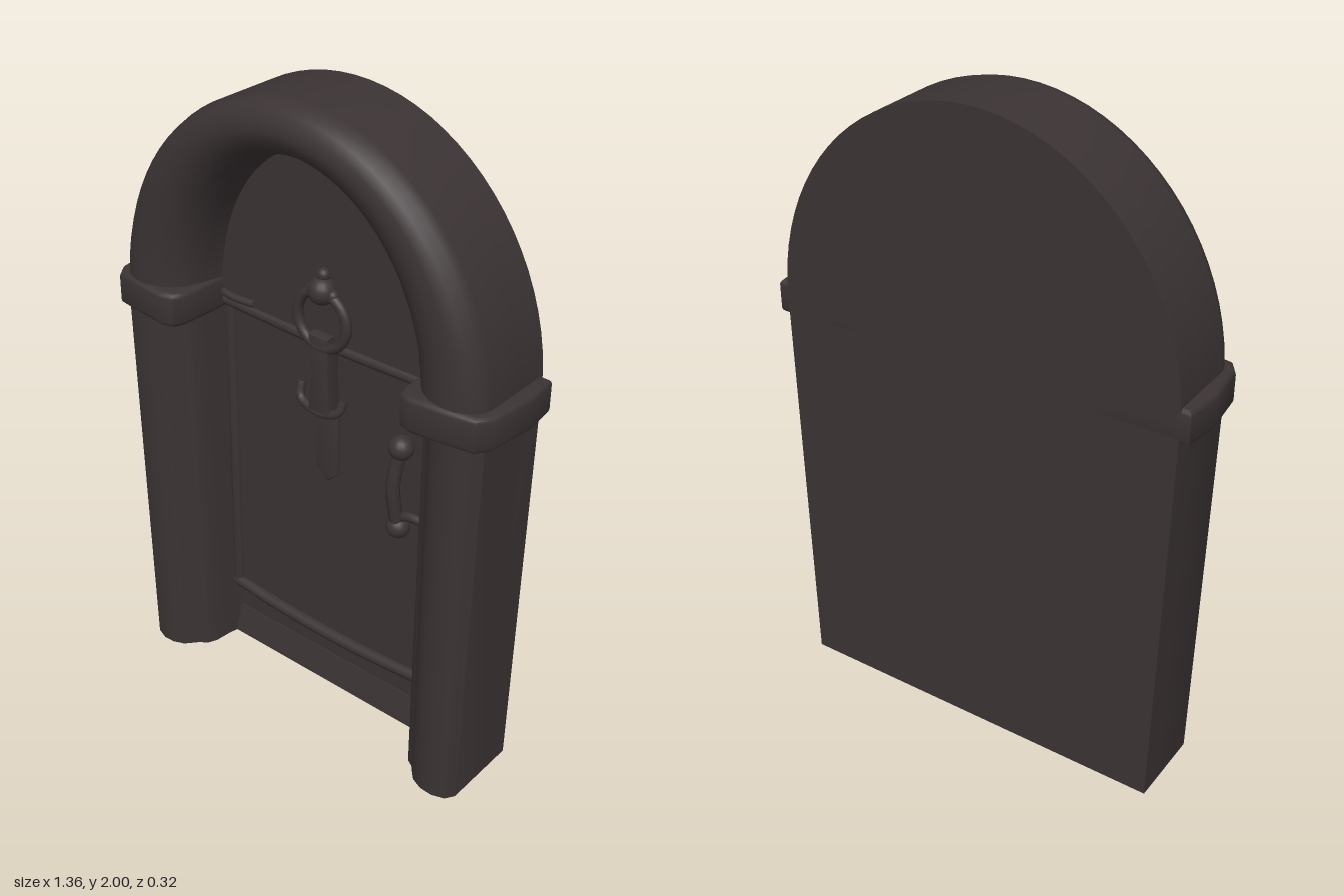
import * as THREE from 'three';
import { toCreasedNormals } from 'three/addons/utils/BufferGeometryUtils.js';

const BACK = -0.16;
const RECESS = -0.08; // front of the backing slab
const SPRING = 1.3; // height where the arch begins
const STEPS = 40;

export function createModel() {
  const group = new THREE.Group();
  const door = new THREE.Group();
  door.name = 'door';
  door.position.z = RECESS;
  group.add(door);
  const stone = new THREE.MeshStandardMaterial({ color: 0x3b3334 });
  stone.name = 'dark stone';

  const addTo = (parent) => (name, geo, x = 0, y = 0, z = 0) => {
    const mesh = new THREE.Mesh(geo, stone);
    mesh.name = name;
    mesh.position.set(x, y, z);
    parent.add(mesh);
  };
  const add = addTo(group), addDoor = addTo(door);
  const vec = ([x, y]) => new THREE.Vector2(x, y);
  const ellipse = (a, b, t) => new THREE.Vector2(a * Math.cos(t), SPRING + b * Math.sin(t));
  const arc = (a, b) => Array.from({ length: STEPS + 1 }, (_, i) => ellipse(a, b, (Math.PI * i) / STEPS));
  const extrude = (points, depth, bevel = 0) =>
    new THREE.ExtrudeGeometry(new THREE.Shape(points), {
      depth, bevelEnabled: bevel > 0, bevelSize: bevel, bevelThickness: bevel, bevelSegments: 3,
    });
  // extrudes a plan of [x, z] points upwards
  const raise = (plan, side, height, bevel = 0) =>
    extrude(plan.map(([x, z]) => new THREE.Vector2(side * x, -z)), height, bevel).rotateX(-Math.PI / 2);
  const tube = (points, radius) =>
    new THREE.TubeGeometry(new THREE.CatmullRomCurve3(points.map((p) => new THREE.Vector3(...p))), 20, radius, 8);

  // Backing slab with arched outline
  const outline = [vec([-0.608, 0]), vec([0.62, 0]), ...arc(0.64, 0.7)];
  add('backSlab', toCreasedNormals(extrude(outline, RECESS - BACK), 0.6), 0, 0, BACK);

  // Rounded arch moulding: profile of [outer-to-inner fraction, z] swept over the arch
  const profile = [[0, RECESS], [0, 0.07], [0.04, 0.098], [0.13, 0.122], [0.28, 0.137], [0.45, 0.141],
    [0.62, 0.133], [0.78, 0.112], [0.9, 0.08], [0.97, 0.04], [1, 0], [1.04, RECESS]];
  const pos = [], index = [], cols = profile.length;
  for (let i = 0; i <= STEPS; i++) {
    const t = (Math.PI * i) / STEPS;
    const outer = ellipse(0.64, 0.7, t), inner = ellipse(0.4, 0.53, t);
    const crown = 0.008 * Math.pow(Math.sin(t), 8);
    profile.forEach(([s, z], j) => {
      const p = outer.clone().lerp(inner, s);
      pos.push(p.x, p.y, z + crown * Math.sin(Math.PI * s));
      if (i < STEPS && j < cols - 1) {
        const a = i * cols + j, b = a + cols;
        index.push(a, b, a + 1, b, b + 1, a + 1);
      }
    });
  }
  const arch = new THREE.BufferGeometry();
  arch.setAttribute('position', new THREE.Float32BufferAttribute(pos, 3));
  arch.setIndex(index);
  arch.computeVertexNormals();
  add('archMoulding', arch);

  // Pillars and their capitals
  const pillarPlan = [[0.64, RECESS], [0.64, 0.09], [0.62, 0.118], [0.575, 0.132], [0.53, 0.13], [0.49, 0.115],
    [0.462, 0.088], [0.45, 0.075], [0.425, 0.062], [0.408, 0.03], [0.4, -0.03], [0.385, RECESS]];
  const capPlan = [[0.655, BACK + 0.015], [0.667, -0.05], [0.65, 0.09], [0.628, 0.122], [0.55, 0.134],
    [0.45, 0.145], [0.42, 0.135], [0.408, 0.11], [0.405, 0], [0.405, BACK + 0.015]];
  for (const side of [1, -1]) {
    const name = side > 0 ? 'left' : 'right';
    const taper = side > 0 ? 0.02 : 0.032;
    const pillar = raise(pillarPlan, side, SPRING);
    const p = pillar.attributes.position;
    for (let i = 0; i < p.count; i++) { // slimmer towards the foot
      const x = p.getX(i), k = (Math.abs(x) - 0.4) / 0.24;
      p.setX(i, x - side * taper * k * (1 - p.getY(i) / SPRING));
    }
    add(name + 'Pillar', toCreasedNormals(pillar, 0.6));
    add(name + 'Capital', toCreasedNormals(raise(capPlan, side, 0.075, 0.015), 0.7), 0, 1.25, 0);
  }

  // Door leaf, arched upper panel, flared base, ledge and sill
  addDoor('doorLeaf', new THREE.BoxGeometry(0.82, 1.06, 0.04), 0, 0.73, -0.005);
  const upper = [vec([-0.41, 1.25]), vec([0.41, 1.25]), ...arc(0.41, 0.54)];
  addDoor('upperPanel', toCreasedNormals(extrude(upper, 0.05), 0.6), 0, 0, -0.015);
  const flare = [[0, 0], [0.025, 0], [0.02, 0.03], [0.005, 0.1], [0, 0.1]].map(vec);
  addDoor('doorBase', toCreasedNormals(extrude(flare, 0.82).rotateY(-Math.PI / 2), 0.6)
    .rotateY(0).scale(1, 1, 1), 0.41, 0, 0);
  addDoor('transomLedge', tube([[-0.41, 1.262, 0.026], [0, 1.25, 0.03], [0.41, 1.252, 0.026]], 0.018));
  addDoor('sill', tube([[-0.41, 0.215, 0.01], [-0.2, 0.2, 0.016], [0.1, 0.195, 0.016], [0.41, 0.21, 0.01]], 0.022));
  addDoor('doorEdge', tube([[-0.385, 0.2, 0.01], [-0.38, 0.7, 0.013], [-0.385, 1.25, 0.01]], 0.02));
  addDoor('hingePin', tube([[-0.41, 1.29, 0.035], [-0.34, 1.285, 0.04], [-0.27, 1.285, 0.035]], 0.012));

  // Ring knocker with finial and hanging strap
  addDoor('knockerRing', new THREE.TorusGeometry(0.088, 0.016, 10, 32), 0, 1.335, 0.052);
  const ball = (name, r, x, y, z) => addDoor(name, new THREE.SphereGeometry(r, 16, 12), x, y, z);
  ball('knockerBoss', 0.042, 0, 1.425, 0.05);
  ball('knockerFinial', 0.02, 0, 1.472, 0.045);
  for (const s of [-1, 1]) ball('knockerLobe', 0.018, s * 0.038, 1.42, 0.05);
  const strap = [[-0.035, 1.28], [-0.022, 1.16], [-0.035, 1.04], [0.03, 1.04], [0.022, 1.16], [0.025, 1.28]].map(vec);
  addDoor('knockerStrap', toCreasedNormals(extrude(strap, 0.045, 0.006), 0.7), 0, 0, 0.015);
  addDoor('knockerHook', tube([[-0.095, 1.095, 0.03], [-0.085, 1.05, 0.045], [0, 1.032, 0.055],
    [0.055, 1.05, 0.045], [0.065, 1.09, 0.03]], 0.014));
  const plate = [[-0.035, 1.03], [-0.035, 0.82], [0, 0.79], [0.035, 0.82], [0.035, 1.03]].map(vec);
  addDoor('strikePlate', toCreasedNormals(extrude(plate, 0.012, 0.006), 0.7), 0, 0, 0.01);

  // Pull handle with end knobs and latch arm
  addDoor('handleBar', tube([[0.28, 1.02, 0.045], [0.27, 0.9, 0.06], [0.278, 0.76, 0.045]], 0.021));
  ball('handleTopKnob', 0.038, 0.28, 1.025, 0.04);
  ball('handleBottomKnob', 0.036, 0.278, 0.755, 0.04);
  addDoor('latchArm', tube([[0.28, 0.79, 0.04], [0.32, 0.805, 0.04], [0.42, 0.802, 0.03]], 0.015));

  return group;
}
